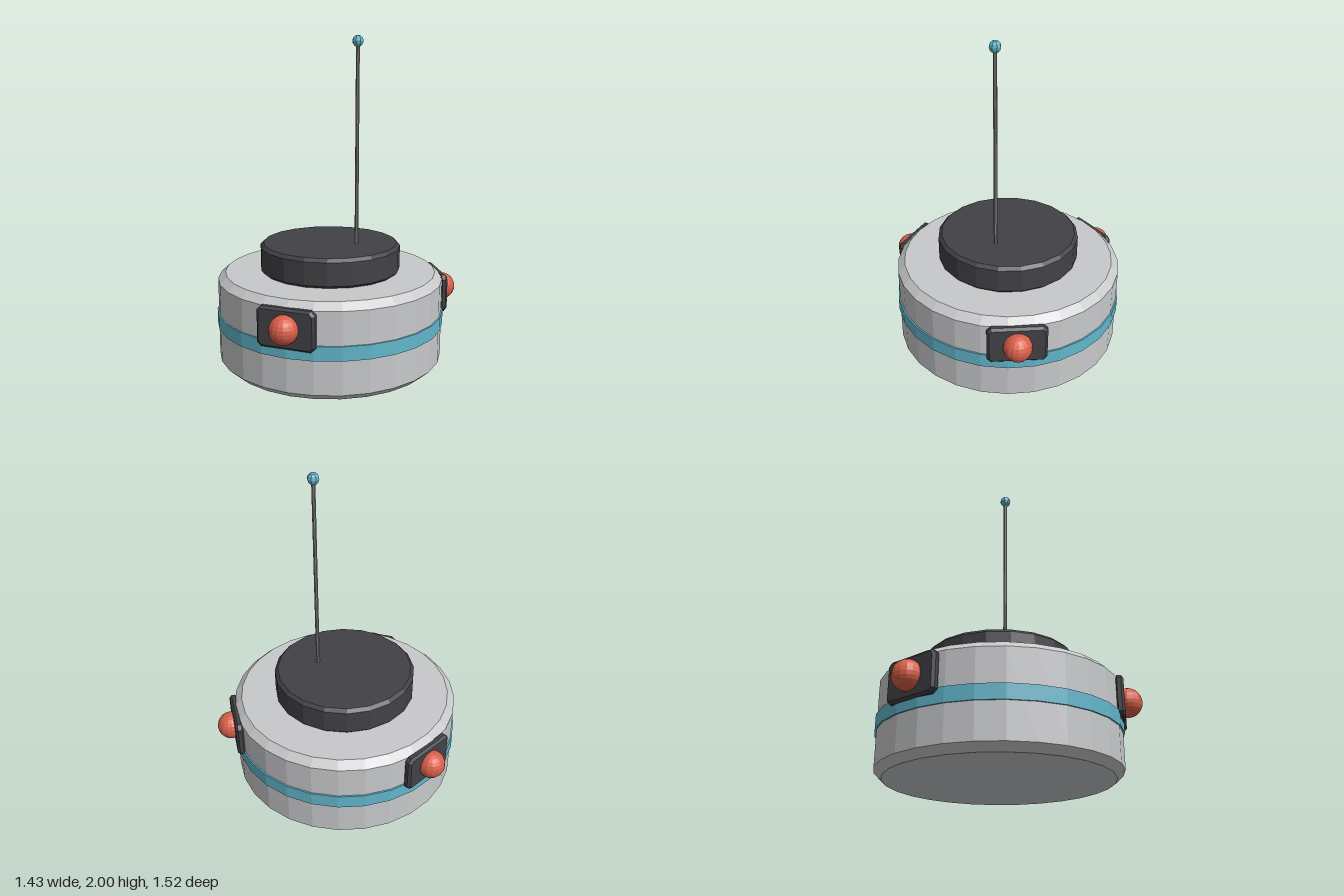
import * as THREE from 'three';

const mat = (name, color) => {
  const m = new THREE.MeshStandardMaterial({ color, flatShading: true });
  m.name = name;
  return m;
};

export function createModel() {
  const shell = mat('pale grey shell', 0xc8c9cb);
  const dark = mat('charcoal', 0x424146);
  const teal = mat('teal', 0x62b6cb);
  const red = mat('coral red', 0xd95f48);
  const metal = mat('antenna grey', 0x858588);

  const model = new THREE.Group();
  model.name = 'beacon';
  const hull = new THREE.Group();
  hull.name = 'hull';
  hull.position.z = -0.058; // the lamp at the front shifts the hull back
  model.add(hull);

  const add = (parent, name, geometry, material, x = 0, y = 0, z = 0) => {
    const mesh = new THREE.Mesh(geometry, material);
    mesh.name = name;
    mesh.position.set(x, y, z);
    parent.add(mesh);
    return mesh;
  };

  // Disc with chamfered rims
  const disc = (radius, y0, y1, inset, rise, sides) => new THREE.LatheGeometry([
    [0, y0], [radius - inset, y0], [radius, y0 + rise],
    [radius, y1 - rise], [radius - inset, y1], [0, y1],
  ].map(([x, y]) => new THREE.Vector2(x, y)), sides);

  add(hull, 'body', disc(0.697, 0, 0.57, 0.045, 0.042, 28), shell);
  add(hull, 'stripe', new THREE.CylinderGeometry(0.706, 0.706, 0.085, 28), teal, 0, 0.288);
  add(hull, 'topCap', disc(0.435, 0.565, 0.745, 0.02, 0.02, 20), dark);

  // Antenna, off centre
  add(hull, 'antennaRod', new THREE.CylinderGeometry(0.012, 0.012, 1.22, 8), metal, 0.173, 1.35);
  add(hull, 'antennaTip', new THREE.SphereGeometry(0.035, 8, 6), teal, 0.173, 1.965);

  // Lamp plate: rectangle with cut corners and a bevelled rim
  const bevel = 0.014, w = 0.173 - bevel, h = 0.118 - bevel, c = 0.016;
  const outline = new THREE.Shape([
    [-w + c, -h], [w - c, -h], [w, -h + c], [w, h - c],
    [w - c, h], [-w + c, h], [-w, h - c], [-w, -h + c],
  ].map(([x, y]) => new THREE.Vector2(x, y)));
  const plate = new THREE.ExtrudeGeometry(outline, {
    depth: 0.022, bevelEnabled: true, bevelThickness: bevel, bevelSize: bevel, bevelSegments: 1,
  });
  plate.translate(0, 0, -0.011);
  const bulb = new THREE.SphereGeometry(0.084, 16, 12);

  // Three lamps spaced evenly round the hull
  for (let i = 0; i < 3; i++) {
    const lamp = new THREE.Group();
    lamp.name = ['frontLamp', 'leftLamp', 'rightLamp'][i];
    lamp.rotation.y = i * Math.PI * 2 / 3;
    add(lamp, 'lampPlate', plate, dark, 0, 0.417, 0.693);
    add(lamp, 'lampBulb', bulb, red, 0, 0.42, 0.732);
    hull.add(lamp);
  }
  return model;
}
